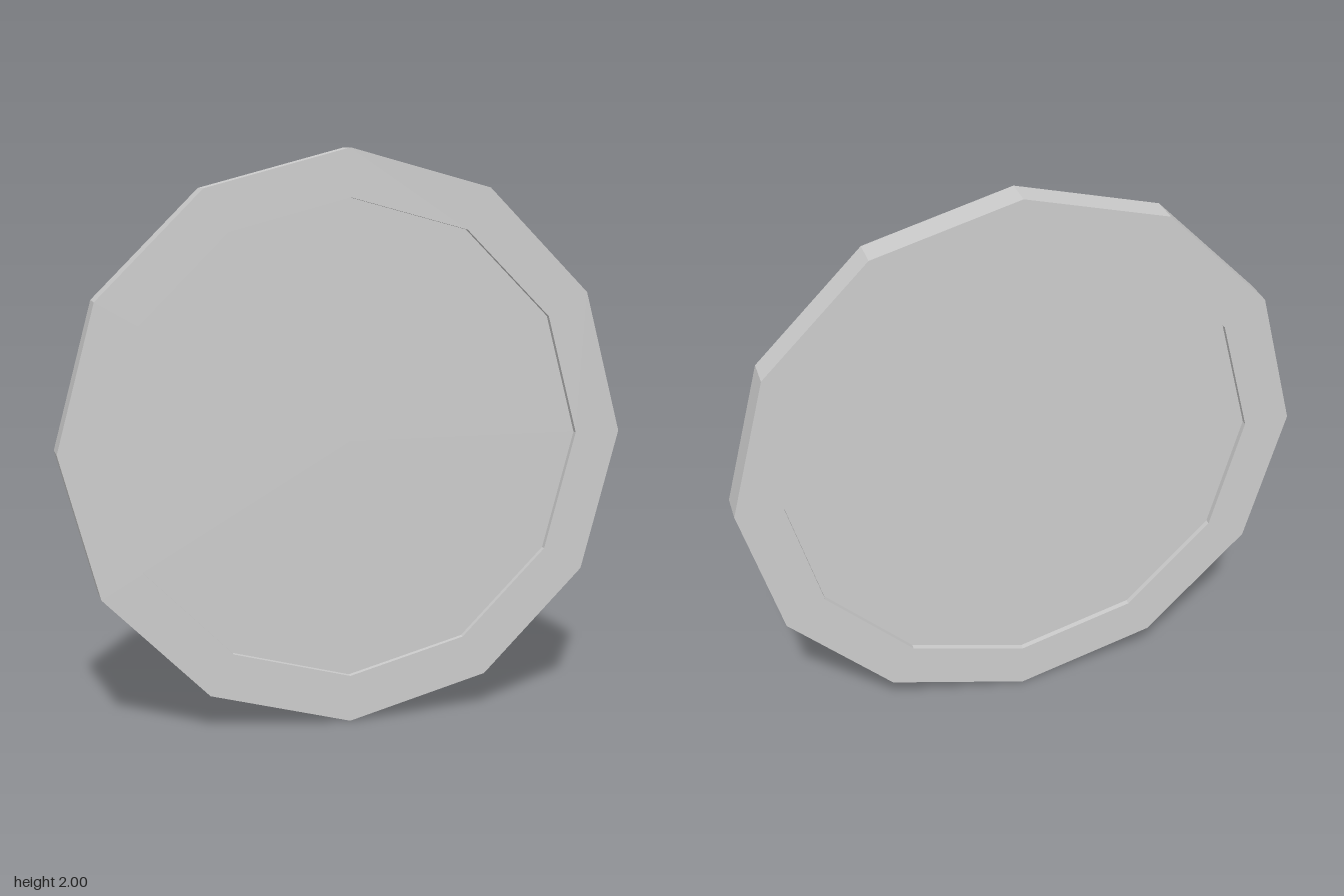
import * as THREE from 'three';

const SIDES = 12;
const OUTER = 1;      // rim corner radius
const INNER = 0.835;  // recess corner radius
const HALF = 0.0525;  // half thickness of the rim
const DEPTH = 0.02;   // recess depth on each face

export function createModel() {
  const group = new THREE.Group();
  group.name = 'disc';
  const material = new THREE.MeshStandardMaterial({ color: 0xcccccc, flatShading: true });

  // Turn a half profile around the disc's axis and face it to +z
  const addTurned = (name, profile) => {
    const points = profile.map(([r, y]) => new THREE.Vector2(r, y));
    const geometry = new THREE.LatheGeometry(points, SIDES).rotateX(Math.PI / 2);
    const mesh = new THREE.Mesh(geometry, material);
    mesh.name = name;
    mesh.position.y = OUTER;
    group.add(mesh);
  };

  // Raised rim: flat on both faces, with short walls down to the recesses
  addTurned('rim', [
    [INNER, DEPTH - HALF], [INNER, -HALF], [OUTER, -HALF],
    [OUTER, HALF], [INNER, HALF], [INNER, HALF - DEPTH],
  ]);

  // Recessed panels, front and back
  addTurned('frontPanel', [[INNER, HALF - DEPTH], [0, HALF - DEPTH]]);
  addTurned('backPanel', [[0, DEPTH - HALF], [INNER, DEPTH - HALF]]);

  return group;
}
